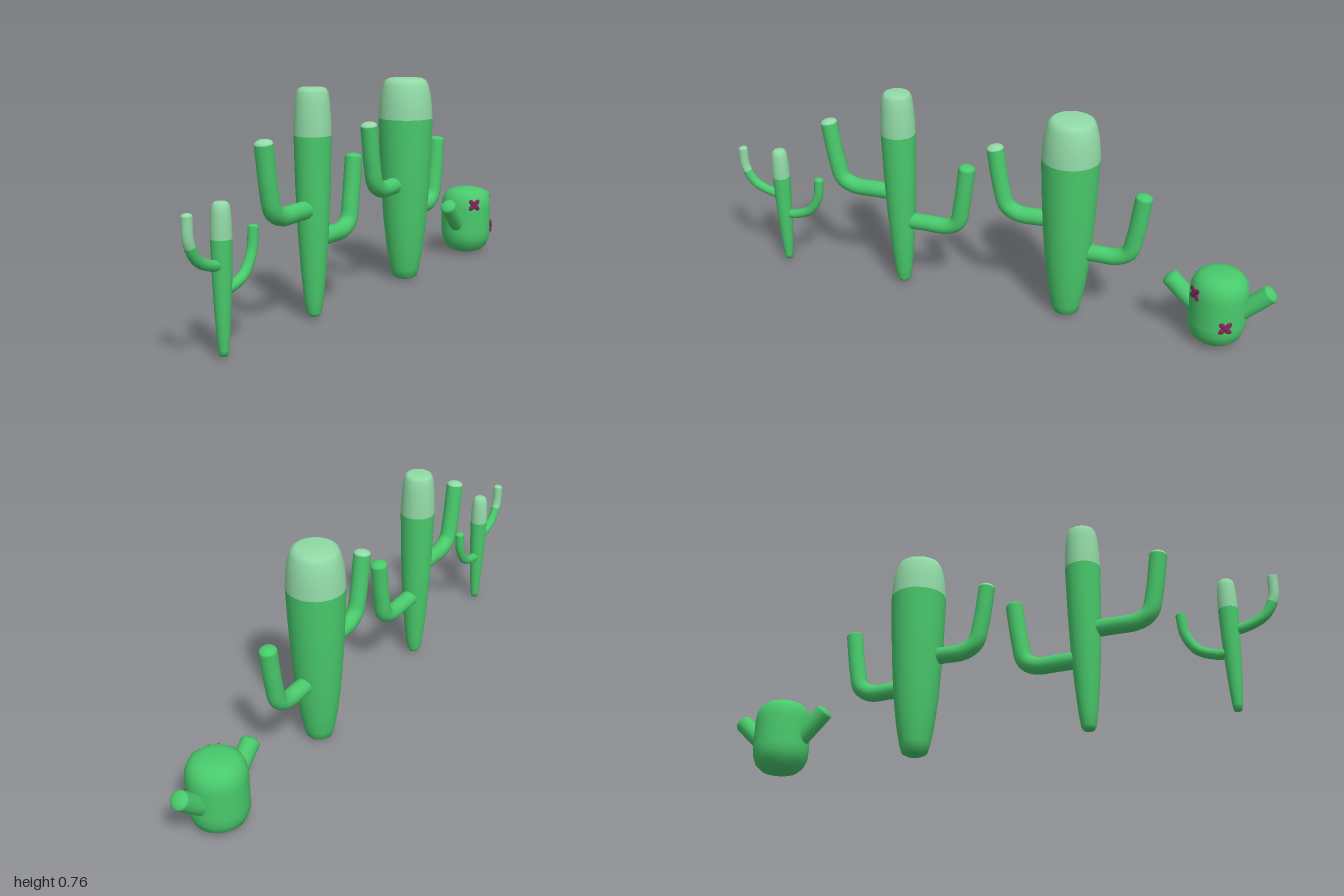
import * as THREE from 'three';

const green = new THREE.MeshStandardMaterial({ color: 0x49ca6c });
green.name = 'cactus green';
const pale = new THREE.MeshStandardMaterial({ color: 0x92dba7 });
pale.name = 'pale green';
const magenta = new THREE.MeshStandardMaterial({ color: 0x86245a });
magenta.name = 'flower magenta';

const SIDES = 28;

function addMesh(parent, name, geometry, material) {
  const mesh = new THREE.Mesh(geometry, material);
  mesh.name = name;
  parent.add(mesh);
  return mesh;
}

// Turned section from [radius, height] pairs, listed bottom to top
function lathe(points) {
  return new THREE.LatheGeometry(points.map(([r, y]) => new THREE.Vector2(r, y)), SIDES);
}

// Round arm along [z, y] points (relative to the trunk); pale above the line height
function addArm(parent, name, points, radius, line, tipMaterial) {
  const curve = new THREE.CatmullRomCurve3(points.map(([z, y]) => new THREE.Vector3(0, y, z)));
  const segments = 32, sides = 14;
  const tube = new THREE.TubeGeometry(curve, segments, radius, sides);
  let split = 0;
  while (split < segments && curve.getPointAt(split / segments).y < line) split++;
  const perRing = sides * 6;
  tube.addGroup(0, split * perRing, 0);
  tube.addGroup(split * perRing, (segments - split) * perRing, 1);
  addMesh(parent, name, tube, [green, pale]);

  // flattened dome closing the tip
  const dome = new THREE.SphereGeometry(radius, sides, 6, 0, Math.PI * 2, 0, Math.PI / 2);
  dome.scale(1, 0.5, 1);
  const tip = addMesh(parent, name + 'Tip', dome, tipMaterial);
  tip.position.copy(curve.getPointAt(1));
  tip.quaternion.setFromUnitVectors(new THREE.Vector3(0, 1, 0), curve.getTangentAt(1));
}

// Tapered trunk with a pale cap
function addTrunk(parent, lower, cap) {
  addMesh(parent, 'trunk', lathe(lower), green);
  addMesh(parent, 'trunkCap', lathe(cap), pale);
}

function cactus(model, name, z) {
  const group = new THREE.Group();
  group.name = name;
  group.position.set(-0.004, 0, z);
  model.add(group);
  return group;
}

// Four petalled flower lying against the barrel wall, facing outwards
function addFlower(parent, dz, y, radius) {
  const flower = new THREE.Group();
  flower.name = 'flower';
  const angle = Math.asin(dz / radius);
  flower.position.set(Math.cos(angle) * radius, y, dz);
  flower.rotation.y = Math.PI / 2 - angle;
  for (let i = 0; i < 4; i++) {
    const a = Math.PI / 4 + i * Math.PI / 2;
    const petal = addMesh(flower, 'petal', new THREE.SphereGeometry(1, 10, 8), magenta);
    petal.scale.set(0.015, 0.0095, 0.0045);
    petal.position.set(Math.cos(a) * 0.014, Math.sin(a) * 0.014, 0.003);
    petal.rotation.z = a;
  }
  const heart = addMesh(flower, 'flowerHeart', new THREE.SphereGeometry(1, 10, 8), magenta);
  heart.scale.set(0.007, 0.007, 0.006);
  heart.position.z = 0.003;
  parent.add(flower);
}

export function createModel() {
  const model = new THREE.Group();
  model.name = 'cactusRow';

  // Small slender cactus with curling arms
  const small = cactus(model, 'smallCactus', 0.832);
  addTrunk(small,
    [[0, 0.011], [0.012, 0.012], [0.016, 0.03], [0.021, 0.09], [0.026, 0.17], [0.030, 0.27], [0.032, 0.36]],
    [[0.032, 0.36], [0.0315, 0.4], [0.029, 0.44], [0.025, 0.46], [0.018, 0.467], [0, 0.468]]);
  addArm(small, 'frontArm',
    [[0, 0.284], [0.05, 0.291], [0.11, 0.318], [0.145, 0.375], [0.15, 0.45]], 0.017, 0.36, pale);
  addArm(small, 'backArm',
    [[0, 0.206], [-0.05, 0.211], [-0.108, 0.237], [-0.144, 0.295], [-0.154, 0.367]], 0.017, 1, green);

  // Tall thin cactus
  const tall = cactus(model, 'tallCactus', 0.353);
  addTrunk(tall,
    [[0, 0.011], [0.018, 0.012], [0.025, 0.024], [0.032, 0.07], [0.042, 0.17], [0.051, 0.3], [0.057, 0.44],
      [0.061, 0.605]],
    [[0.061, 0.605], [0.060, 0.65], [0.056, 0.71], [0.051, 0.742], [0.045, 0.753], [0.036, 0.757], [0, 0.757]]);
  addArm(tall, 'frontArm',
    [[0, 0.37], [0.1, 0.37], [0.18, 0.372], [0.223, 0.395], [0.243, 0.46], [0.266, 0.606]], 0.03, 1, pale);
  addArm(tall, 'backArm',
    [[0, 0.265], [-0.1, 0.265], [-0.175, 0.267], [-0.215, 0.29], [-0.232, 0.36], [-0.252, 0.503]], 0.03, 1, green);

  // Large thick cactus
  const large = cactus(model, 'largeCactus', -0.267);
  addTrunk(large,
    [[0, 0.003], [0.03, 0.004], [0.045, 0.012], [0.053, 0.04], [0.066, 0.11], [0.079, 0.22], [0.089, 0.36],
      [0.095, 0.48], [0.099, 0.602]],
    [[0.099, 0.602], [0.097, 0.64], [0.092, 0.685], [0.083, 0.722], [0.074, 0.74], [0.06, 0.747], [0, 0.748]]);
  addArm(large, 'frontArm',
    [[0, 0.362], [0.1, 0.362], [0.18, 0.364], [0.222, 0.39], [0.242, 0.455], [0.265, 0.598]], 0.03, 1, pale);
  addArm(large, 'backArm',
    [[0, 0.256], [-0.1, 0.256], [-0.175, 0.258], [-0.216, 0.283], [-0.234, 0.35], [-0.254, 0.493]], 0.03, 1, green);

  // Round barrel cactus with stubby arms and flowers
  const barrel = cactus(model, 'barrelCactus', -0.796);
  addMesh(barrel, 'barrel', lathe(
    [[0, 0.002], [0.04, 0.004], [0.065, 0.012], [0.086, 0.032], [0.097, 0.062], [0.099, 0.09], [0.099, 0.19],
      [0.096, 0.218], [0.086, 0.242], [0.068, 0.258], [0.04, 0.266], [0, 0.268]]), green);
  for (const side of [1, -1]) {
    addArm(barrel, side > 0 ? 'frontArm' : 'backArm',
      [[side * 0.05, 0.1], [side * 0.11, 0.157], [side * 0.165, 0.211]], 0.032, 1, green);
  }
  addFlower(barrel, 0.07, 0.209, 0.098);
  addFlower(barrel, -0.04, 0.107, 0.099);

  return model;
}
